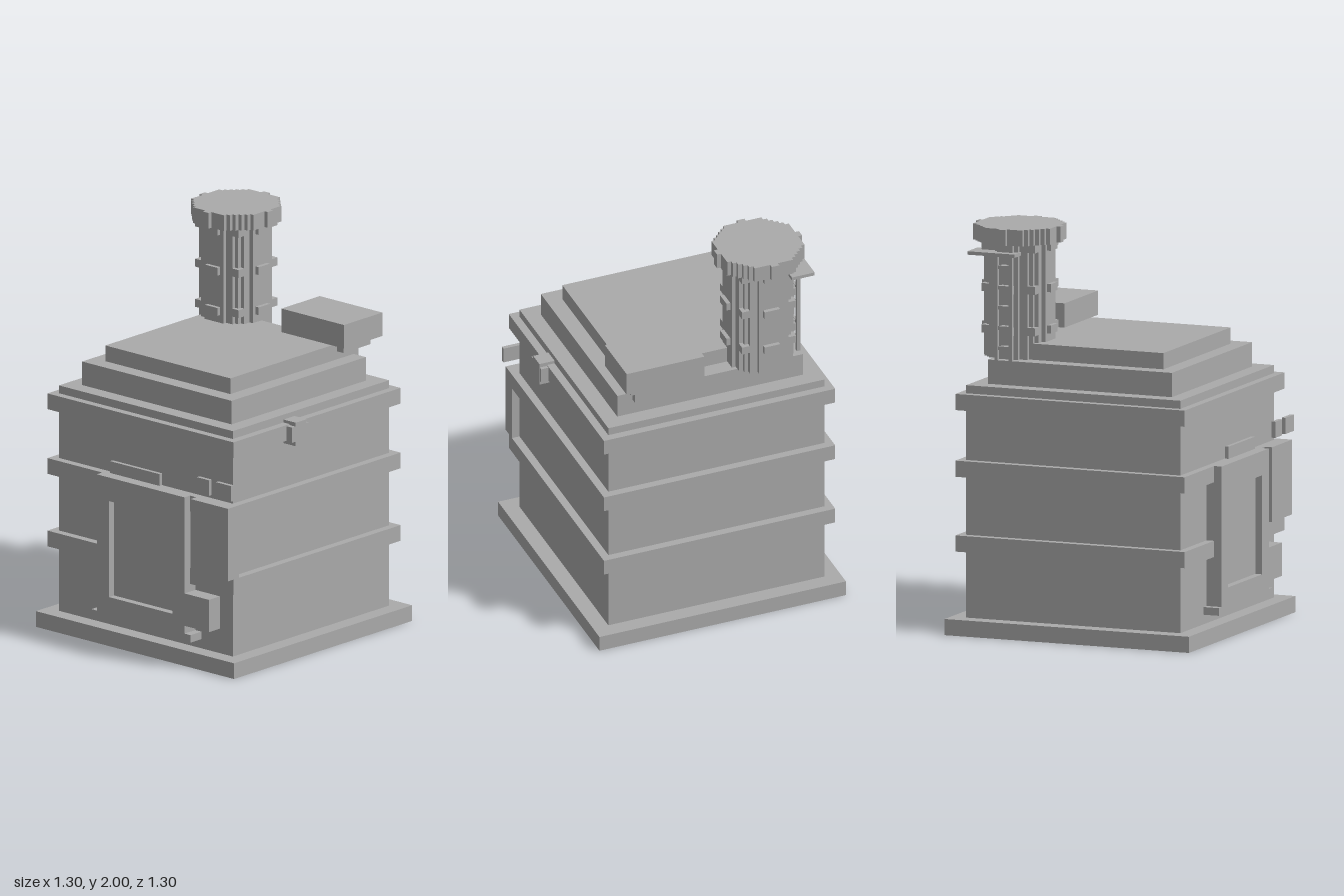
import * as THREE from 'three';

export function createModel() {
  const model = new THREE.Group();
  const gray = new THREE.MeshStandardMaterial({ color: 0xaaaaaa });
  gray.name = 'stone gray';

  const add = (name, geometry, parent = model) => {
    const mesh = new THREE.Mesh(geometry, gray);
    mesh.name = name;
    parent.add(mesh);
    return mesh;
  };
  // Box given by its limits along each axis
  const box = (name, x0, x1, y0, y1, z0, z1, parent = model) => {
    const mesh = add(name, new THREE.BoxGeometry(x1 - x0, y1 - y0, z1 - z0), parent);
    mesh.position.set((x0 + x1) / 2, (y0 + y1) / 2, (z0 + z1) / 2);
    return mesh;
  };
  const slab = (name, half, y0, y1) => box(name, -half, half, y0, y1, -half, half);

  // Base, body, bands and stepped roof
  slab('base', 0.65, 0, 0.08);
  slab('body', 0.57, 0.08, 1.23);
  for (const y of [0.41, 0.78, 1.11]) slab('band', 0.61, y, y + 0.08);
  slab('lowerRoof', 0.49, 1.23, 1.35);
  slab('upperRoof', 0.41, 1.35, 1.43);

  // Door: frame with opening, recessed panel, sill and latch
  const door = new THREE.Group();
  door.name = 'door';
  model.add(door);
  box('frameLeftPost', 0.245, 0.325, 0.165, 0.86, 0.57, 0.65, door);
  box('frameRightPost', -0.25, -0.17, 0.165, 0.86, 0.57, 0.65, door);
  box('frameTop', -0.17, 0.245, 0.74, 0.86, 0.57, 0.65, door);
  box('frameBottom', -0.17, 0.245, 0.165, 0.25, 0.57, 0.65, door);
  box('doorPanel', -0.17, 0.245, 0.25, 0.74, 0.57, 0.613, door);
  box('sill', -0.285, 0.365, 0.127, 0.165, 0.57, 0.65, door);
  box('latch', 0.325, 0.485, 0.205, 0.37, 0.57, 0.65, door);

  // Control panel on the front corner, plates above the door
  box('cornerPanel', 0.365, 0.61, 0.49, 0.86, 0.57, 0.65);
  box('doorPlate', -0.165, 0.16, 0.885, 0.945, 0.63, 0.65);
  box('innerGauge', 0.405, 0.485, 0.9, 0.98, 0.63, 0.65);
  box('outerGauge', 0.53, 0.63, 0.9, 0.98, 0.63, 0.65);

  // Valve on the left side
  box('valveCore', 0.57, 0.65, 1.085, 1.205, 0.12, 0.2);
  box('valveRim', 0.61, 0.648, 1.107, 1.185, 0.102, 0.224);

  // Vent box on its stepped foot
  box('ventBox', 0.08, 0.49, 1.43, 1.55, -0.61, -0.33);
  box('ventNeck', 0.12, 0.45, 1.39, 1.43, -0.57, -0.37);
  box('ventFoot', 0.16, 0.41, 1.31, 1.39, -0.525, -0.41);

  // Chimney from stepped discs; each row gives a half width in cells
  const chimney = new THREE.Group();
  chimney.name = 'chimney';
  chimney.position.set(-0.286, 0, -0.408);
  model.add(chimney);
  const cell = 0.0204;
  const disc = (name, rows, y0, y1) => {
    const side = [];
    rows.forEach((w, i) => side.push([w, i], [w, i + 1]));
    const back = side.map(([x, y]) => [-x, y]).reverse();
    const upper = [...side, ...back];
    const pts = [...upper, ...upper.map(([x, y]) => [-x, -y])]
      .map(([x, y]) => new THREE.Vector2(x * cell, y * cell))
      .filter((p, i, a) => !p.equals(a[(i + 1) % a.length]));
    const geometry = new THREE.ExtrudeGeometry(new THREE.Shape(pts), { depth: y1 - y0, bevelEnabled: false });
    geometry.rotateX(-Math.PI / 2).translate(0, y0, 0);
    add(name, geometry, chimney);
  };
  disc('stack', [8, 8, 8, 7, 7, 6, 5, 3], 1.35, 1.92);
  for (const y of [1.47, 1.675, 1.88])
    disc('stackRing', [9, 9, 8, 7, 7, 7, 7, 3, 2], y, y + 0.04);
  disc('stackCap', [11, 10, 10, 10, 10, 9, 8, 7, 6, 5, 1], 1.92, 2);

  // Ladder with a small platform beside the chimney
  box('platform', -0.51, -0.39, 1.865, 1.882, -0.59, -0.34);
  for (const z of [-0.455, -0.38]) box('ladderRail', -0.49, -0.472, 1.35, 1.866, z, z + 0.018);
  for (let i = 0; i < 5; i++) {
    const y = 1.4 + i * 0.1;
    box('ladderRung', -0.486, -0.474, y, y + 0.018, -0.455, -0.362);
    box('ladderBracket', -0.473, -0.445, y, y + 0.018, -0.43, -0.39);
  }
  return model;
}
